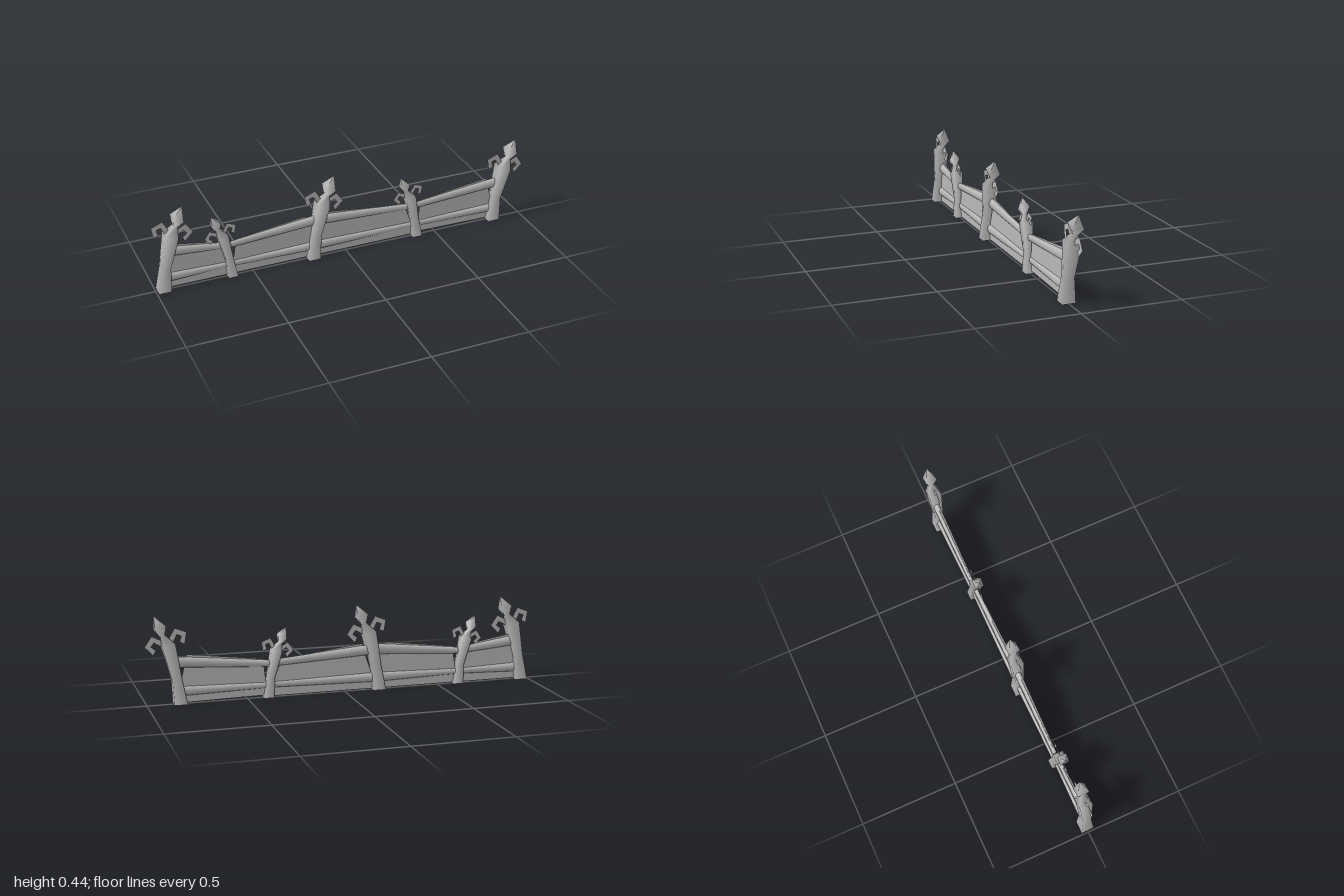
import * as THREE from 'three';

const stone = new THREE.MeshStandardMaterial({ color: 0xb8b8b8, side: THREE.DoubleSide });
stone.name = 'grey';

// Skin a closed tube over loops of points (all of equal length), with capped ends
function loft(rings) {
  const n = rings[0].length, pos = rings.flat(2), index = [];
  for (let r = 0; r < rings.length - 1; r++) {
    for (let i = 0; i < n; i++) {
      const a = r * n + i, b = r * n + (i + 1) % n;
      index.push(a, a + n, b, b, a + n, b + n);
    }
  }
  // Caps get their own corners so that their edges stay sharp
  [rings[0], rings[rings.length - 1]].forEach((ring, end) => {
    const s = pos.length / 3;
    pos.push(...ring.flat());
    for (let i = 1; i < n - 1; i++) {
      index.push(s, ...(end ? [s + i + 1, s + i] : [s + i, s + i + 1]));
    }
  });
  const g = new THREE.BufferGeometry();
  g.setAttribute('position', new THREE.Float32BufferAttribute(pos, 3));
  g.setIndex(index);
  g.computeVertexNormals();
  return g;
}

function flat(points) {
  return new THREE.ShapeGeometry(new THREE.Shape(points.map(([x, y]) => new THREE.Vector2(x, y))));
}

function add(parent, geometry, name) {
  const mesh = new THREE.Mesh(geometry, stone);
  mesh.name = name;
  parent.add(mesh);
  return mesh;
}

// Leaning four-sided post: x, y, half width, half depth, lean of each ring
const POST = [
  [0, 0, 0.032, 0.033, 0],
  [0.015, 0.125, 0.024, 0.022, 0.12],
  [0.052, 0.295, 0.033, 0.033, 0.3],
  [0.078, 0.343, 0.012, 0.012, 0.45],
  [0.09, 0.383, 0.029, 0.03, 0.45],
  [0.118, 0.442, 0.0005, 0.0005, 0.45],
];

// Flat hook beside the post's neck
const HOOK = [
  [-0.04, 0.355], [0.018, 0.378], [0.045, 0.33], [0.045, 0.305], [0.025, 0.31],
  [0.008, 0.345], [-0.014, 0.337], [-0.005, 0.308], [-0.03, 0.295],
];

// Flip a hook point across the leaning axis of the post
function flipPoint([x, y]) {
  const nx = Math.cos(0.3), ny = -Math.sin(0.3);
  const d = 2 * ((x - 0.062) * nx + (y - 0.32) * ny);
  return [x - d * nx, y - d * ny];
}

// side is 1 for a lean towards +x and -1 for a lean towards -x
function makePost(x, size, side) {
  const post = new THREE.Group();
  post.name = size === 1 ? 'tallPost' : 'shortPost';
  const rings = POST.map(([cx, cy, w, d, lean]) =>
    [[-1, -1], [1, -1], [1, 1], [-1, 1]].map(([u, v]) => [
      size * (side * cx + u * w * Math.cos(lean)),
      size * (cy - u * side * w * Math.sin(lean)),
      size * v * d,
    ]));
  add(post, loft(rings), 'post');
  for (const hook of [HOOK, HOOK.map(flipPoint)]) {
    add(post, flat(hook.map(([px, py]) => [side * size * px, size * py])), 'hook');
  }
  post.position.x = x;
  return post;
}

// Tapered rail between two points, each given as x, y, half height
function makeRail(ends) {
  const sides = 10;
  const ordered = [...ends].sort((p, q) => q[0] - p[0]);
  return loft(ordered.map(([x, y, r]) => Array.from({ length: sides }, (_, i) => {
    const a = (i / sides) * Math.PI * 2;
    return [x, y + r * Math.cos(a), -0.005 + r * 0.6 * Math.sin(a)];
  })));
}

export function createModel() {
  const fence = new THREE.Group();
  fence.name = 'fence';

  // Tall posts lean one way, the short ones between lean the other
  for (const x of [-0.96, -0.18, 0.837]) fence.add(makePost(x, 1, 1));
  for (const x of [-0.61, 0.395]) fence.add(makePost(x, 0.793, -1));

  // Each rail is thick at the tall post and thin at the short one
  const bays = [[-0.945, -0.62], [-0.17, -0.61], [-0.165, 0.375], [0.85, 0.39]];
  for (const [tall, short] of bays) {
    add(fence, makeRail([[tall, 0.21, 0.027], [short, 0.173, 0.017]]), 'topRail');
    add(fence, makeRail([[tall, 0.063, 0.024], [short, 0.063, 0.014]]), 'bottomRail');
  }

  // Thin panels that fill the bays
  const panels = [
    [[-0.95, 0.005], [-0.61, 0.005], [-0.62, 0.17], [-0.71, 0.211], [-0.9, 0.243], [-0.93, 0.21]],
    [[-0.61, 0.005], [-0.18, 0.005], [-0.17, 0.2], [-0.22, 0.242], [-0.58, 0.198]],
    [[-0.17, 0.005], [0.38, 0.005], [0.37, 0.075], [0.335, 0.17], [0.15, 0.214], [-0.09, 0.242]],
    [[0.4, 0.012], [0.82, 0.005], [0.83, 0.12], [0.8, 0.245], [0.42, 0.198]],
  ];
  for (const p of panels) add(fence, flat(p), 'panel').position.z = -0.005;

  return fence;
}
